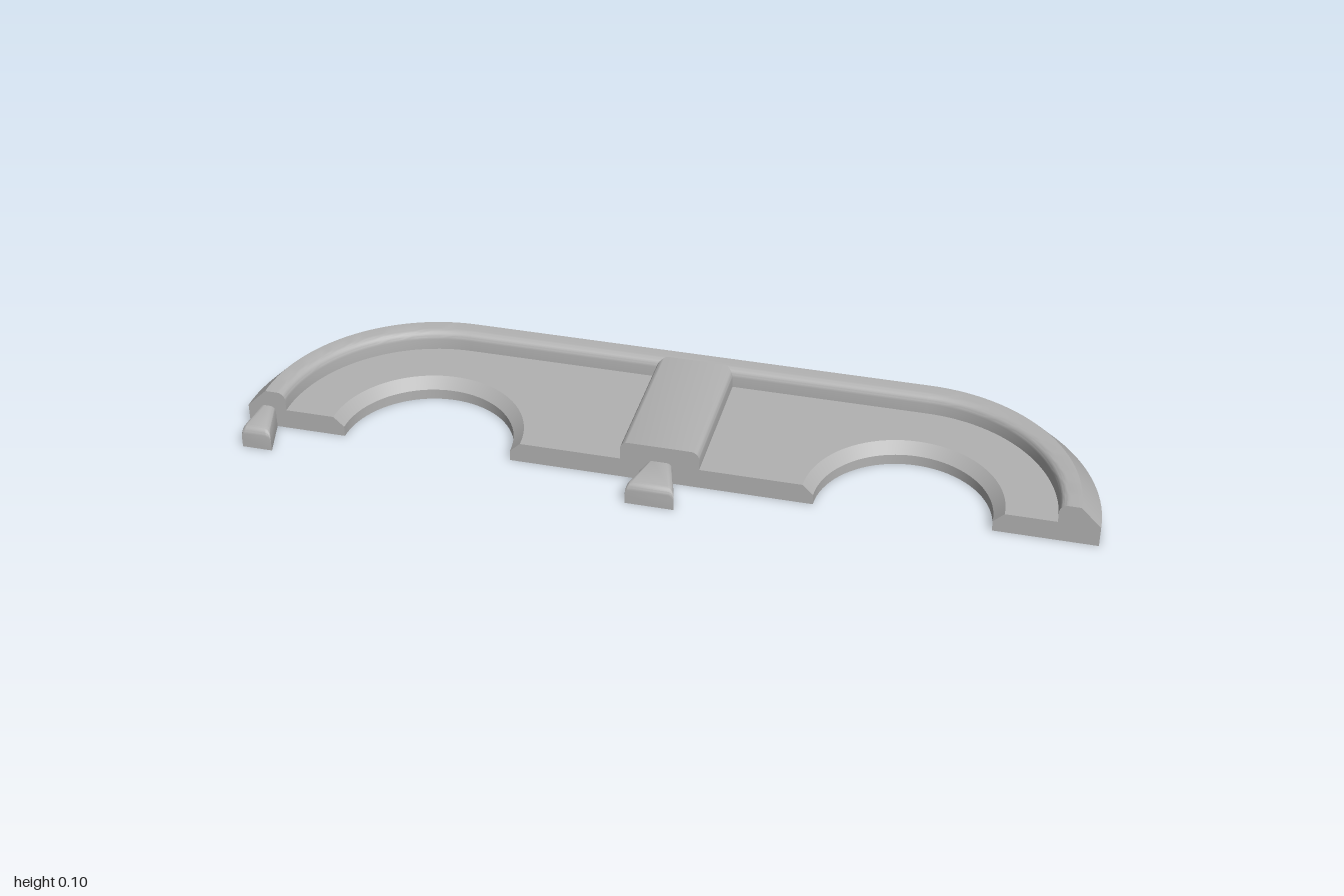
import * as THREE from 'three';
import { toCreasedNormals, mergeGeometries } from 'three/addons/utils/BufferGeometryUtils.js';

const CX = 0.56;      // x of the end-arc and cut-out centres
const FRONT = 0.172;  // z of the flat front face
const FLOOR = 0.05;   // height of the recessed floor
const TOP = 0.097;    // height of the rim and rib
const ROUND = 0.02;   // radius of the soft inner edges

// Skin a grid of points: rows[i][j] are Vector3
function loft(rows) {
  const pos = [];
  const put = (...vs) => vs.forEach((v) => pos.push(v.x, v.y, v.z));
  for (let i = 0; i < rows.length - 1; i++) {
    for (let j = 0; j < rows[i].length - 1; j++) {
      const a = rows[i][j], b = rows[i][j + 1], c = rows[i + 1][j], d = rows[i + 1][j + 1];
      put(a, b, c, b, d, c);
    }
  }
  const g = new THREE.BufferGeometry();
  g.setAttribute('position', new THREE.Float32BufferAttribute(pos, 3));
  return g;
}

// Flat face from 2D points
const face = (pts) => {
  const g = new THREE.ShapeGeometry(new THREE.Shape(pts)).toNonIndexed();
  g.deleteAttribute('uv');
  g.deleteAttribute('normal');
  return g;
};

const join = (parts) => toCreasedNormals(mergeGeometries(parts), 0.5);

// Points [x, y] along an arc
function arc(cx, cy, r, a0, a1, n) {
  return Array.from({ length: n + 1 }, (_, i) => {
    const a = a0 + ((a1 - a0) * i) / n;
    return new THREE.Vector2(cx + r * Math.cos(a), cy + r * Math.sin(a));
  });
}

// Stadium-shaped half path at distance r, from left front round the back to right front
const halfPath = (r) => [
  ...arc(-CX, FRONT, r, Math.PI, 1.5 * Math.PI, 28),
  ...arc(CX, FRONT, r, 1.5 * Math.PI, 2 * Math.PI, 28),
];

// Floor plate with two countersunk half-round cut-outs
function plateGeometry() {
  const outline = (hole) => [
    ...halfPath(0.44),
    ...arc(CX, FRONT, hole, 2 * Math.PI, Math.PI, 40),
    ...arc(-CX, FRONT, hole, 2 * Math.PI, Math.PI, 40),
  ];
  const levels = [[0, 0.203], [0.026, 0.203], [FLOOR, 0.228]];
  const rings = levels.map(([y, hole]) => outline(hole).map((p) => new THREE.Vector3(p.x, y, p.y)));
  const rows = rings[0].map((_, i) => rings.map((ring) => ring[i]));
  rows.push(rows[0]);
  const bottom = face(outline(0.203)).rotateX(Math.PI / 2);
  const top = face(outline(0.228).map((p) => new THREE.Vector2(p.x, -p.y)));
  top.rotateX(-Math.PI / 2).translate(0, FLOOR, 0);
  return join([loft(rows), bottom, top]);
}

// Raised rim: chamfered outside, rounded inside
function rimGeometry() {
  const profile = [
    new THREE.Vector2(0.44, FLOOR),
    new THREE.Vector2(0.393, TOP),
    ...arc(0.345 + ROUND, TOP - ROUND, ROUND, Math.PI / 2, Math.PI, 6),
    new THREE.Vector2(0.345, FLOOR),
  ];
  const paths = profile.map((q) => halfPath(q.x));
  const rows = paths[0].map((_, i) =>
    profile.map((q, j) => new THREE.Vector3(paths[j][i].x, q.y, paths[j][i].y)));
  const ends = [-1, 1].map((s) =>
    face(profile.map((q) => new THREE.Vector2(s * (CX + q.x), q.y))).translate(0, 0, FRONT));
  return join([loft(rows), ...ends]);
}

// Section with rounded top corners, from right foot over the top to left foot
const archSection = (xl, xr, y0, y1, r) => [
  new THREE.Vector2(xr, y0),
  ...arc(xr - r, y1 - r, r, 0, Math.PI / 2, 6),
  ...arc(xl + r, y1 - r, r, Math.PI / 2, Math.PI, 6),
  new THREE.Vector2(xl, y0),
];

// Cross rib dividing the two bays
function ribGeometry() {
  const section = archSection(-0.093, 0.093, FLOOR, TOP, ROUND);
  const back = FRONT - 0.345 - ROUND;
  const rows = [back, FRONT].map((z) => section.map((p) => new THREE.Vector3(p.x, p.y, z)));
  return join([loft(rows), face(section).translate(0, 0, FRONT)]);
}

// Dovetail tab flaring forward, with a rounded front top edge
function tabGeometry(xl0, xr0, xl1, xr1) {
  const z1 = 0.268, h = 0.056, r = 0.018;
  const stations = [new THREE.Vector2(FRONT, h), ...arc(z1 - r, h - r, r, Math.PI / 2, 0, 6)];
  const sections = stations.map((s) => {
    const t = (s.x - FRONT) / (z1 - FRONT);
    return archSection(xl0 + (xl1 - xl0) * t, xr0 + (xr1 - xr0) * t, 0, s.y, 0.014);
  });
  const rows = sections.map((sec, i) =>
    [...sec, sec[0]].map((p) => new THREE.Vector3(p.x, p.y, stations[i].x)));
  return join([loft(rows), face(sections[sections.length - 1]).translate(0, 0, z1)]);
}

export function createModel() {
  const grey = new THREE.MeshStandardMaterial({ color: 0xb2b2b2 });
  grey.name = 'grey plastic';
  const model = new THREE.Group();
  model.name = 'halfTray';
  const add = (name, geometry) => {
    const mesh = new THREE.Mesh(geometry, grey);
    mesh.name = name;
    model.add(mesh);
  };
  add('floorPlate', plateGeometry());
  add('rim', rimGeometry());
  add('centreRib', ribGeometry());
  add('centreTab', tabGeometry(-0.03, 0.03, -0.057, 0.057));
  add('cornerTab', tabGeometry(-0.972, -0.932, -0.98, -0.908));
  return model;
}
